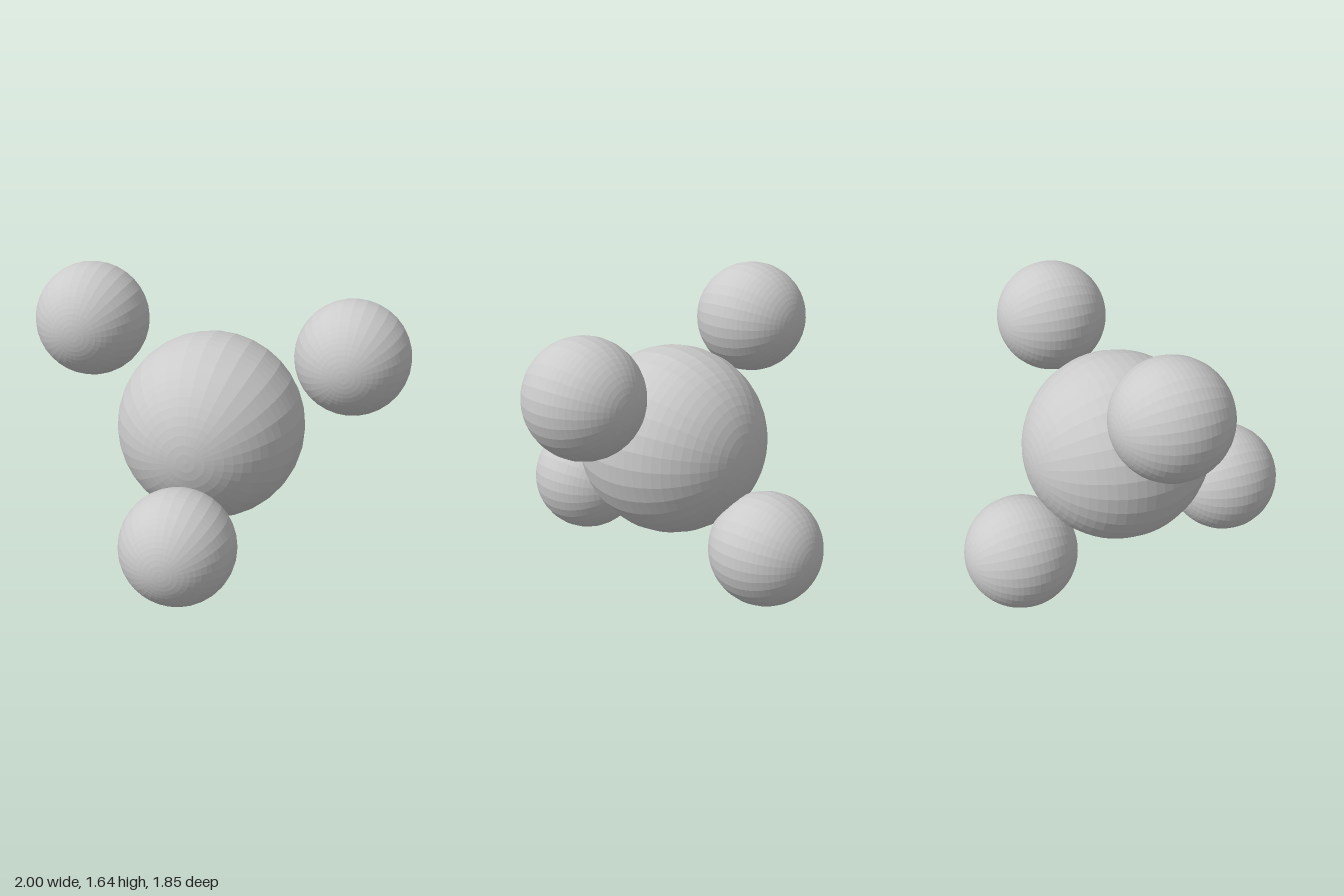
import * as THREE from 'three';

export function createModel() {
  const group = new THREE.Group();
  const material = new THREE.MeshStandardMaterial({ color: 0xcccccc, flatShading: true });

  // Faceted ball with its poles along z
  function addBall(name, radius, x, y, z) {
    const geometry = new THREE.SphereGeometry(radius, 32, 32).rotateX(Math.PI / 2);
    const ball = new THREE.Mesh(geometry, material);
    ball.name = name;
    ball.position.set(x, y, z);
    group.add(ball);
  }

  // Large central ball
  addBall('centralBall', 0.505, -0.04, 0.793, -0.035);

  // Four smaller balls around it in a tetrahedral arrangement
  const r = 0.303;
  addBall('upperRightBall', r, -0.697, 1.338, -0.038);
  addBall('upperLeftBall', r, 0.697, 1.226, -0.11);
  addBall('lowerFrontBall', r, -0.04, 0.4, 0.622);
  addBall('lowerBackBall', r, -0.108, r, -0.622);

  return group;
}
